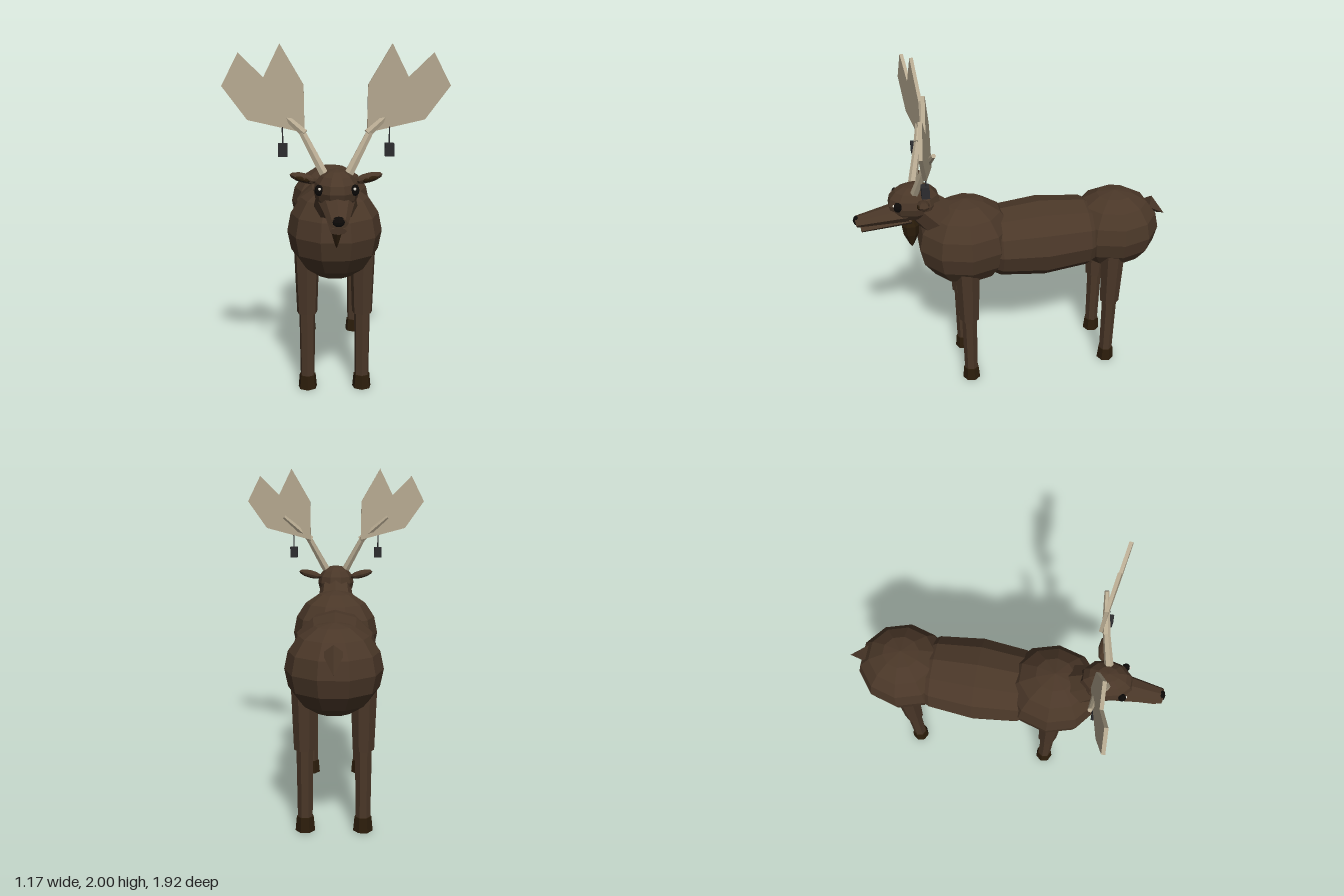
import * as THREE from 'three';

const mat = (name, color) => {
  const m = new THREE.MeshStandardMaterial({ color, flatShading: true });
  m.name = name;
  return m;
};

export function createModel() {
  const fur = mat('brown fur', 0x4a3728);
  const horn = mat('dark hoof and beard', 0x2c1d0b);
  const antlerMat = mat('antler bone', 0xb8ab92);
  const black = mat('black eye', 0x0d0a08);
  const metal = mat('dark lantern metal', 0x2c2c2f);
  const white = mat('eye highlight', 0xe8e4d8);
  const model = new THREE.Group();
  model.name = 'antleredAnimal';

  const add = (name, geometry, material, parent = model) => {
    const mesh = new THREE.Mesh(geometry, material);
    mesh.name = name;
    parent.add(mesh);
    return mesh;
  };

  // Faceted ellipsoid at p with radii r
  const ball = (name, p, r, material, w = 10, h = 8, parent = model) => {
    const mesh = add(name, new THREE.SphereGeometry(1, w, h), material, parent);
    mesh.position.set(...p);
    mesh.scale.set(...r);
    return mesh;
  };

  // Tapered rod from a to b; flat squashes its cross-section
  const rod = (name, a, b, ra, rb, sides, material, parent = model, flat = 1) => {
    const A = new THREE.Vector3(...a), B = new THREE.Vector3(...b);
    const d = B.clone().sub(A);
    const mesh = add(name, new THREE.CylinderGeometry(rb, ra, d.length(), sides), material, parent);
    mesh.position.copy(A).add(B).multiplyScalar(0.5);
    mesh.quaternion.setFromUnitVectors(new THREE.Vector3(0, 1, 0), d.normalize());
    mesh.scale.z = flat;
    return mesh;
  };

  // Body: chest, barrel and rump
  ball('chest', [0, 0.955, 0.31], [0.27, 0.275, 0.3], fur);
  ball('rump', [0, 0.93, -0.615], [0.265, 0.25, 0.287], fur);
  const profile = [[0, -0.46], [0.55, -0.42], [0.89, -0.27], [1, 0], [0.89, 0.27], [0.55, 0.42], [0, 0.46]];
  const barrel = new THREE.LatheGeometry(profile.map(([r, y]) => new THREE.Vector2(r, y)), 12);
  barrel.rotateX(Math.PI / 2);
  barrel.scale(0.257, 0.24, 1);
  const belly = add('barrel', barrel, fur);
  belly.position.set(0, 0.92, -0.15);

  // Tail
  rod('tail', [0, 1.06, -0.83], [0, 0.975, -0.955], 0.058, 0.001, 4, fur);

  // Neck and head
  rod('neck', [0, 1.02, 0.36], [0, 1.24, 0.58], 0.14, 0.1, 8, fur);
  const head = new THREE.Group();
  head.name = 'head';
  model.add(head);
  ball('skull', [0, 1.25, 0.605], [0.12, 0.112, 0.155], fur, 10, 8, head);
  rod('muzzle', [0, 1.195, 0.65], [0, 1.152, 0.945], 0.095, 0.048, 8, fur, head, 0.6);
  rod('lowerJaw', [0, 1.15, 0.63], [0, 1.107, 0.92], 0.07, 0.042, 8, fur, head, 0.45);
  ball('nose', [0, 1.16, 0.94], [0.034, 0.026, 0.022], black, 8, 6, head);

  // Beard: a drop hanging below the jaw
  const drop = [[0, -0.1], [0.3, -0.075], [0.85, -0.01], [1, 0.05], [0.6, 0.095], [0, 0.1]];
  const beardGeo = new THREE.LatheGeometry(drop.map(([r, y]) => new THREE.Vector2(r, y)), 6);
  beardGeo.scale(0.037, 1, 0.052);
  add('beard', beardGeo, horn, head).position.set(0, 1.04, 0.635);

  // Legs: tapered thigh, thinner shin, flared hoof
  for (const [end, z] of [['front', 0.33], ['hind', -0.575]]) {
    for (const s of [1, -1]) {
      const leg = new THREE.Group();
      leg.name = end + (s > 0 ? 'LeftLeg' : 'RightLeg');
      model.add(leg);
      const x = 0.16 * s;
      rod('upperLeg', [x, 0.47, z], [x, 0.83, z], 0.06, 0.074, 7, fur, leg);
      rod('lowerLeg', [x, 0.07, z], [x, 0.48, z], 0.042, 0.047, 7, fur, leg);
      rod('hoof', [x, 0, z], [x, 0.082, z], 0.056, 0.048, 7, horn, leg);
    }
  }

  // Eyes, ears, antlers and hanging lanterns on both sides
  const palmOutline = [[0.165, 1.54], [0.46, 1.615], [0.585, 1.79], [0.5, 1.955],
    [0.375, 1.83], [0.29, 2.0], [0.168, 1.79]];
  for (const s of [1, -1]) {
    const side = s > 0 ? 'left' : 'right';
    ball(side + 'Eye', [0.093 * s, 1.268, 0.704], [0.022, 0.03, 0.024], black, 8, 6, head);
    ball(side + 'EyeHighlight', [0.09 * s, 1.278, 0.726], [0.008, 0.008, 0.006], white, 6, 4, head);

    const ear = ball(side + 'Ear', [0.17 * s, 1.307, 0.565], [0.078, 0.026, 0.036], fur, 8, 6, head);
    ear.rotation.z = 0.25 * s;
    const inner = ball(side + 'InnerEar', [0.177 * s, 1.305, 0.59], [0.045, 0.014, 0.012], horn, 8, 6, head);
    inner.rotation.z = 0.25 * s;

    const antler = new THREE.Group();
    antler.name = side + 'Antler';
    model.add(antler);
    rod('antlerStem', [0.065 * s, 1.335, 0.6], [0.185 * s, 1.56, 0.54], 0.026, 0.02, 6, antlerMat, antler);
    rod('antlerBranch', [0.165 * s, 1.54, 0.545], [0.34 * s, 1.69, 0.508], 0.024, 0.013, 6, antlerMat, antler);

    // Flat palm, sheared so its outer edge sweeps forward
    const shape = new THREE.Shape(palmOutline.map(([x, y]) => new THREE.Vector2(x * s, y)));
    const palm = new THREE.ExtrudeGeometry(shape, { depth: 0.02, bevelEnabled: false });
    const pos = palm.attributes.position;
    for (let i = 0; i < pos.count; i++) {
      pos.setZ(i, pos.getZ(i) + 0.505 + 0.19 * (Math.abs(pos.getX(i)) - 0.165));
    }
    palm.computeVertexNormals();
    add('antlerPalm', palm, antlerMat, antler);

    // Lantern on a thin cord
    rod('lanternCord', [0.28 * s, 1.48, 0.555], [0.28 * s, 1.575, 0.545], 0.004, 0.004, 5, metal, antler);
    const lantern = add('lantern', new THREE.BoxGeometry(0.048, 0.068, 0.044), metal, antler);
    lantern.position.set(0.28 * s, 1.455, 0.558);
  }
  return model;
}
